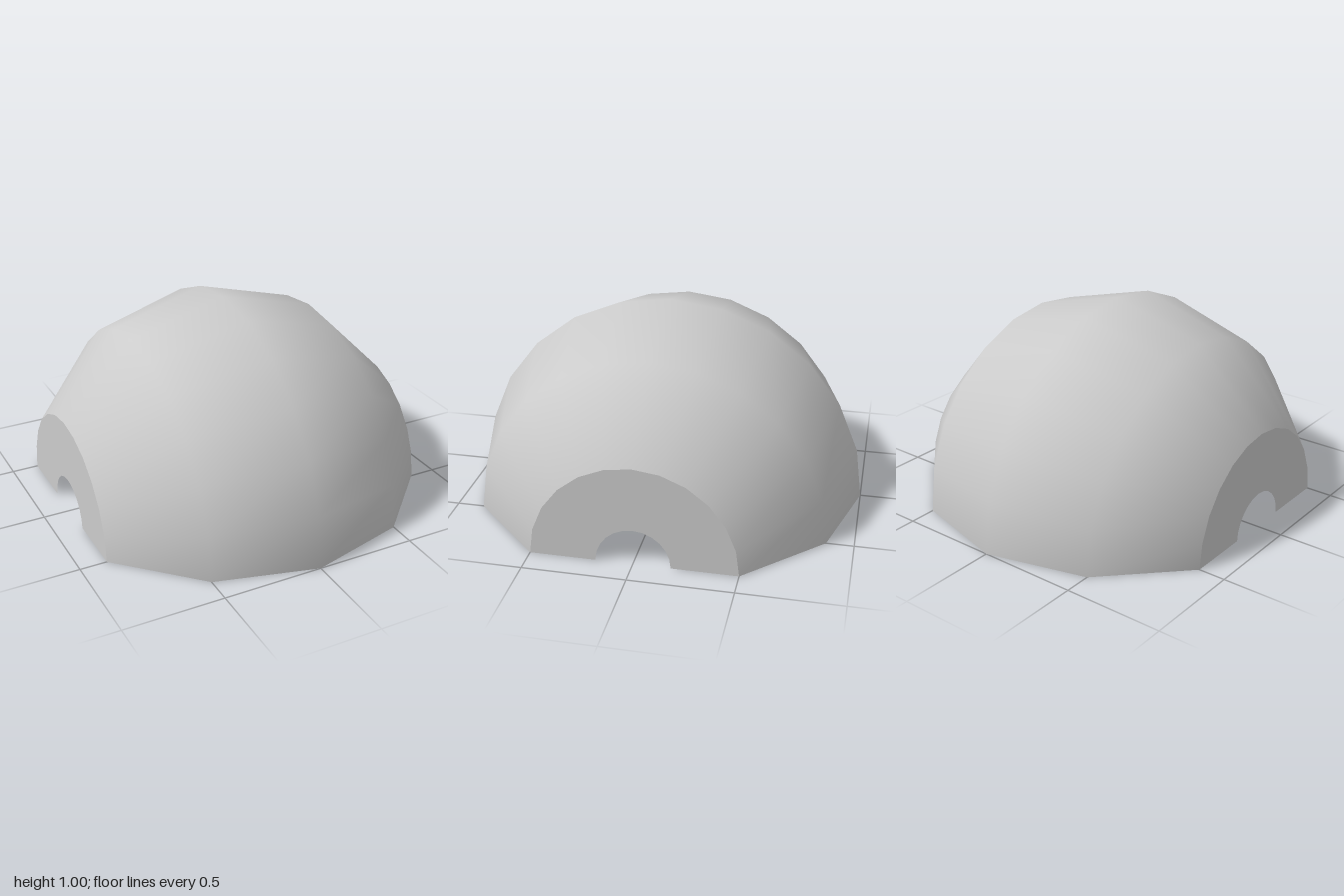
import * as THREE from 'three';

export function createModel() {
  const model = new THREE.Group();
  model.name = 'halfDome';
  const material = new THREE.MeshStandardMaterial({ color: 0xcccccc, side: THREE.DoubleSide });
  const segments = 12;
  const cut = Math.PI / 6; // polar angle at which the ends are sliced off

  // Open half shell: a sphere band with its axis laid along x
  const shellGeometry = new THREE.SphereGeometry(1, segments, 4, 0, Math.PI, cut, Math.PI - 2 * cut);
  shellGeometry.rotateX(-Math.PI / 2).rotateY(Math.PI / 2);
  const shell = new THREE.Mesh(shellGeometry, material);
  shell.name = 'shell';
  model.add(shell);

  // Flat end plates with a half-round opening
  for (const side of [1, -1]) {
    const geometry = new THREE.RingGeometry(0.18, Math.sin(cut), segments, 1, 0, Math.PI);
    geometry.rotateY(side * Math.PI / 2);
    const plate = new THREE.Mesh(geometry, material);
    plate.name = side > 0 ? 'leftEndPlate' : 'rightEndPlate';
    plate.position.x = side * Math.cos(cut);
    model.add(plate);
  }
  return model;
}
